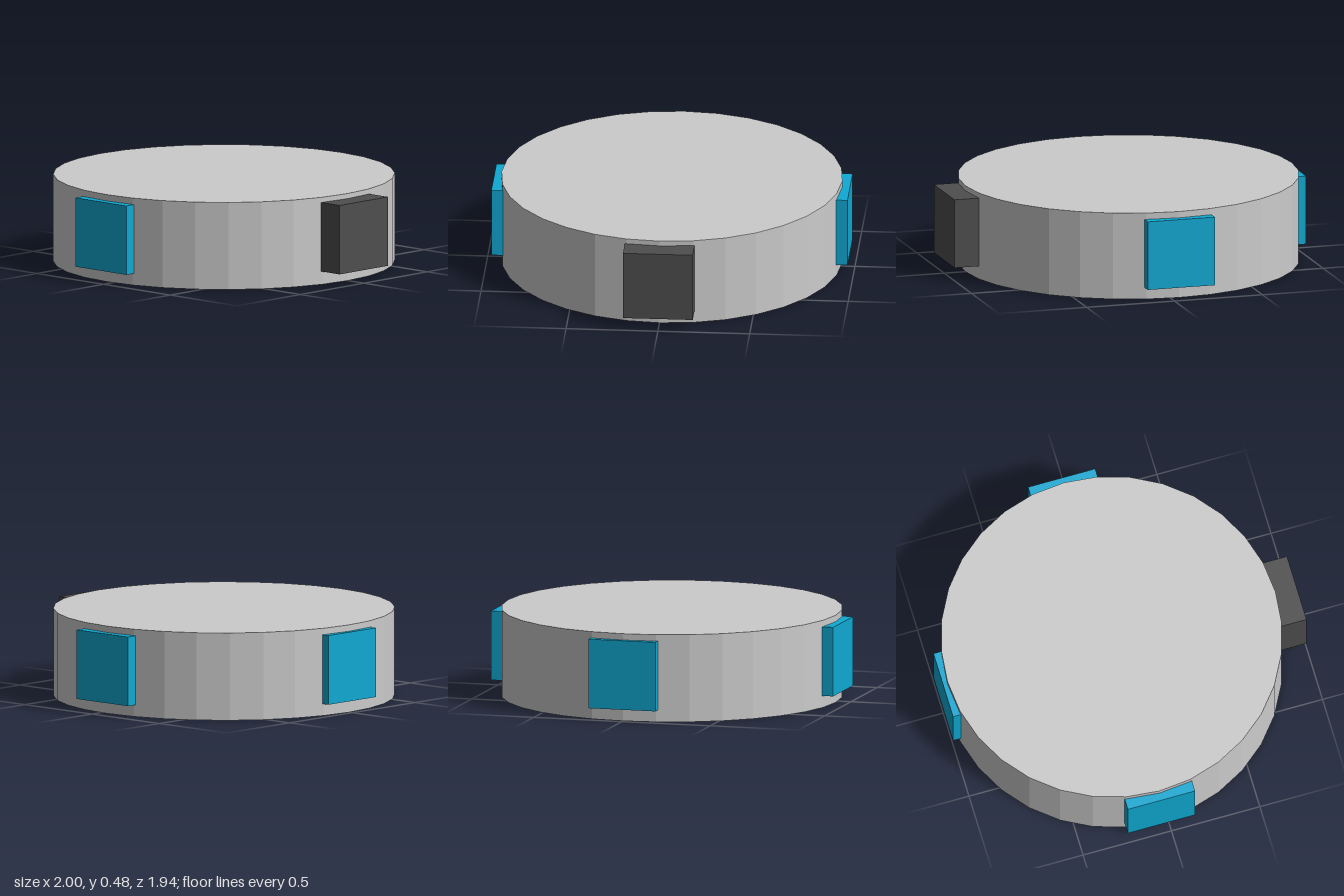
import * as THREE from 'three';

const CENTER_X = -0.048;
const RADIUS = 0.928;
const HEIGHT = 0.48;
const PAD = 0.38;

function material(color) {
  return new THREE.MeshStandardMaterial({ color, flatShading: true });
}

export function createModel() {
  const model = new THREE.Group();
  const grey = material(0xcccccc);
  const blue = material(0x10a9d3);
  const dark = material(0x4e4e4e);

  // Faceted disc body
  const body = new THREE.Mesh(new THREE.CylinderGeometry(RADIUS, RADIUS, HEIGHT, 32), grey);
  body.name = 'body';
  body.position.set(CENTER_X, HEIGHT / 2, 0);
  model.add(body);

  // Block on the rim, spanning inner to outer distance from the disc axis
  function addBlock(name, angle, inner, outer, y, mat) {
    const block = new THREE.Mesh(new THREE.BoxGeometry(PAD, PAD, outer - inner), mat);
    const r = (inner + outer) / 2;
    block.name = name;
    block.position.set(CENTER_X + Math.sin(angle) * r, y, Math.cos(angle) * r);
    block.rotation.y = angle;
    model.add(block);
  }

  // Thin side pads
  addBlock('frontPad', 0, 0.87, 0.97, 0.255, blue);
  addBlock('backPad', Math.PI, 0.87, 0.97, 0.255, blue);
  addBlock('rightPad', -Math.PI / 2, 0.87, 0.952, 0.255, blue);

  // Thick connector block
  addBlock('connectorBlock', Math.PI / 2, 0.87, 1.048, 0.262, dark);

  return model;
}
